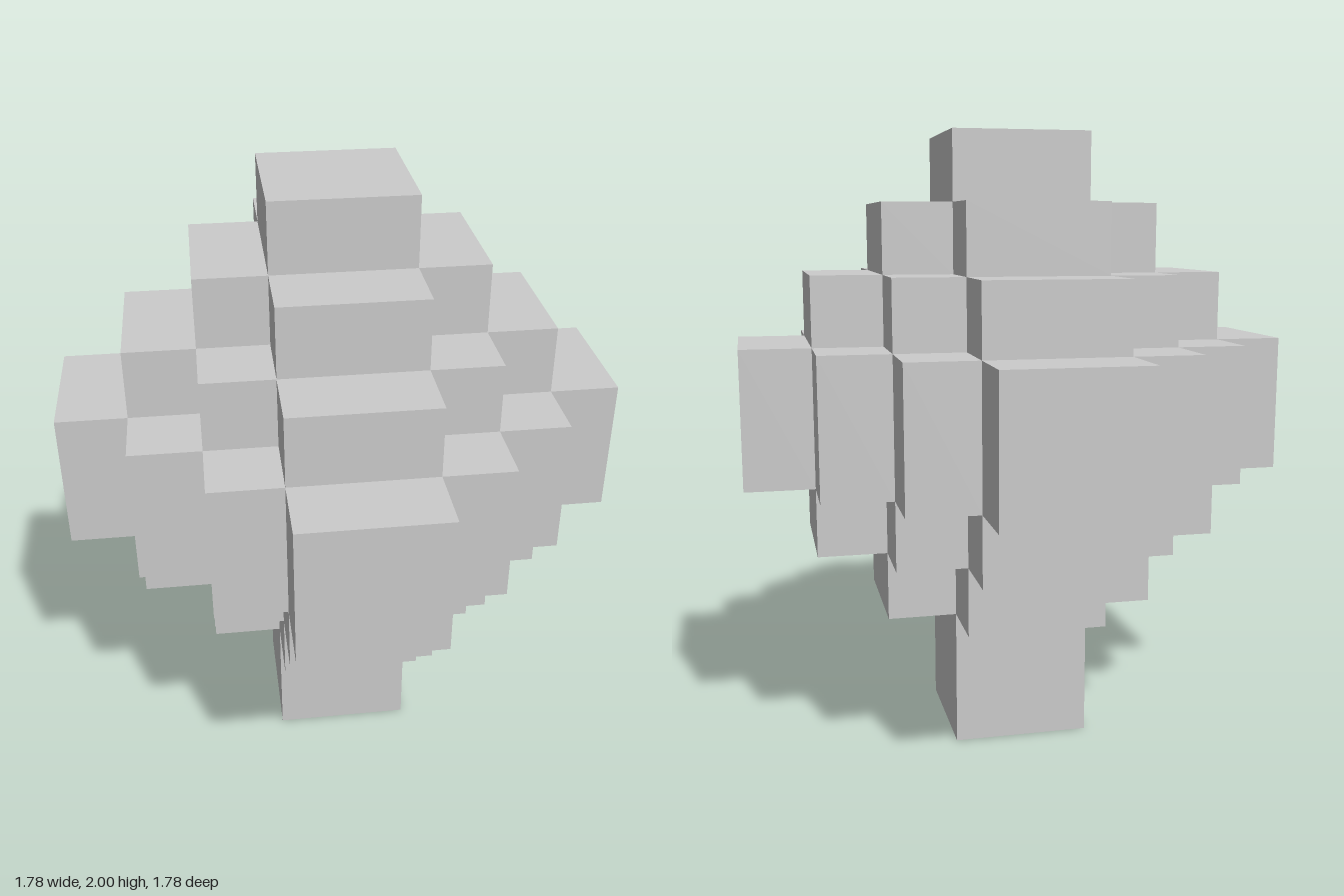
import * as THREE from 'three';

const U = 2 / 9; // one block step
const material = new THREE.MeshStandardMaterial({ color: 0xcccccc, flatShading: true });

// Stepped diamond outline reaching n steps along each axis
function steppedDiamond(n) {
  const points = [];
  for (let quarter = 0; quarter < 4; quarter++) {
    const add = (x, y) => {
      for (let i = 0; i < quarter; i++) [x, y] = [-y, x];
      points.push(new THREE.Vector2(x * U, y * U));
    };
    for (let k = 1; k <= n; k++) {
      add(n + 1 - k, k);
      if (k < n) add(n - k, k);
    }
  }
  return new THREE.Shape(points);
}

// Flat slab of the outline, from step y0 up through the given height
function layer(name, n, y0, height) {
  const geometry = new THREE.ExtrudeGeometry(steppedDiamond(n), { depth: height * U, bevelEnabled: false });
  geometry.rotateX(-Math.PI / 2);
  const mesh = new THREE.Mesh(geometry, material);
  mesh.name = name;
  mesh.position.y = y0 * U;
  return mesh;
}

export function createModel() {
  const model = new THREE.Group();
  model.name = 'blockTree';

  // Square trunk
  model.add(layer('trunk', 1, 0, 2));

  // Crown: widens to the double-height middle layer, then narrows to the tip
  const crown = new THREE.Group();
  crown.name = 'crown';
  crown.add(
    layer('lowerCrownSmall', 2, 2, 1),
    layer('lowerCrownLarge', 3, 3, 1),
    layer('crownMiddle', 4, 4, 2),
    layer('upperCrownLarge', 3, 6, 1),
    layer('upperCrownSmall', 2, 7, 1),
    layer('crownTip', 1, 8, 1),
  );
  model.add(crown);
  return model;
}
